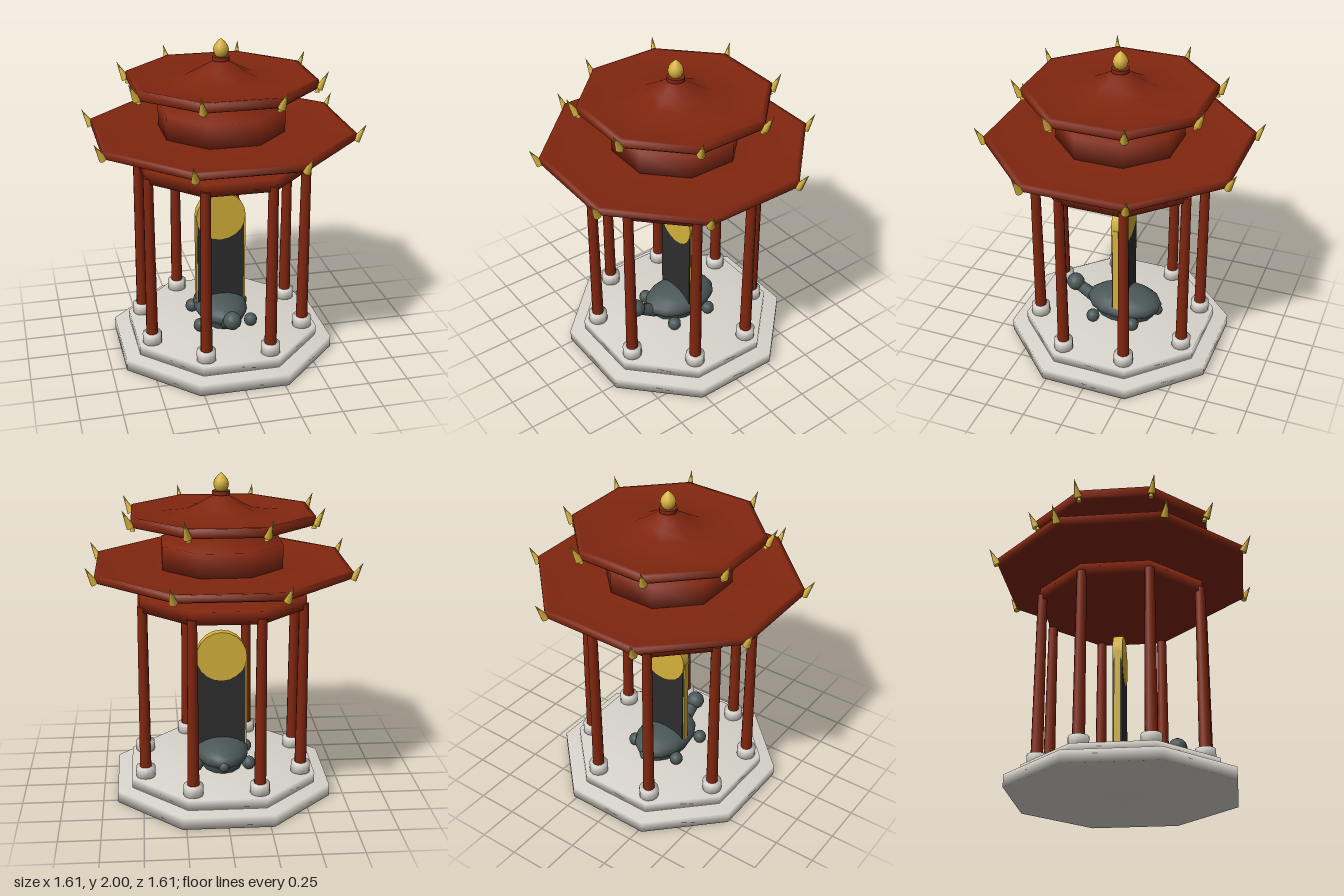
import * as THREE from 'three';
import { mergeVertices } from 'three/addons/utils/BufferGeometryUtils.js';

const paint = (name, color) => {
  const m = new THREE.MeshStandardMaterial({ color });
  m.name = name;
  return m;
};

export function createModel() {
  const red = paint('lacquer red', 0x80260f);
  const gold = paint('gold', 0xd4b03a);
  const stone = paint('pale stone', 0xd9d5cd);
  const slab = paint('dark slab', 0x2d2d2d);
  const slate = paint('slate', 0x4b5757);

  const model = new THREE.Group();
  model.name = 'pavilion';
  const group = (name) => {
    const g = new THREE.Group();
    g.name = name;
    model.add(g);
    return g;
  };
  const add = (parent, name, geo, mat, x = 0, y = 0, z = 0) => {
    const mesh = new THREE.Mesh(geo, mat);
    mesh.name = name;
    mesh.position.set(x, y, z);
    parent.add(mesh);
    return mesh;
  };

  // Share all corners so that shading runs softly over the edges
  const soften = (geo) => {
    geo.deleteAttribute('normal');
    geo.deleteAttribute('uv');
    const g = mergeVertices(geo, 1e-4);
    g.computeVertexNormals();
    return g;
  };

  // Eight-sided solid; profile is [distance to flat side, y] from bottom to top
  const C = Math.cos(Math.PI / 8);
  const octagon = (profile) => soften(new THREE.LatheGeometry(
    profile.map(([a, y]) => new THREE.Vector2(a / C, y)), 8, Math.PI / 8));
  const disc = (a, y0, y1) => octagon([[0, y0], [a, y0], [a, y1], [0, y1]]);

  // Direction of each corner
  const eachCorner = (fn) => {
    for (let i = 0; i < 8; i++) {
      const t = Math.PI / 8 + i * Math.PI / 4;
      fn(Math.sin(t), Math.cos(t));
    }
  };

  // Cone or cylinder between two points
  const rod = (parent, name, mat, from, to, r0, r1, sides) => {
    const a = new THREE.Vector3(...from), b = new THREE.Vector3(...to);
    const d = b.clone().sub(a);
    const m = add(parent, name, new THREE.CylinderGeometry(r1, r0, d.length(), sides), mat);
    m.position.copy(a).add(b).multiplyScalar(0.5);
    m.quaternion.setFromUnitVectors(new THREE.Vector3(0, 1, 0), d.normalize());
    return m;
  };

  // Stepped base
  const base = group('base');
  add(base, 'lowerStep', disc(0.66, 0, 0.075), stone);
  add(base, 'upperStep', disc(0.57, 0.075, 0.142), stone);

  // Columns on round footings, tied by a beam slab
  const columns = group('columns');
  const footing = soften(new THREE.CylinderGeometry(0.06, 0.06, 0.07, 12));
  const shaft = new THREE.CylinderGeometry(0.03, 0.037, 1.06, 10);
  eachCorner((s, c) => {
    add(columns, 'footing', footing, stone, s * 0.525, 0.172, c * 0.525);
    add(columns, 'column', shaft, red, s * 0.525, 0.71, c * 0.525);
  });
  add(columns, 'beam', disc(0.5, 1.208, 1.286), red);

  // Lower roof with upturned rim, and the drum above it
  const lower = group('lowerRoof');
  add(lower, 'lowerEave', octagon([[0, 1.395], [0.6, 1.395], [0.735, 1.41], [0.755, 1.42],
    [0.755, 1.458], [0.73, 1.458], [0.6, 1.435], [0.36, 1.445], [0, 1.445]]), red);
  add(lower, 'drum', disc(0.36, 1.43, 1.59), red);

  // Upper roof sweeping up to the finial
  const upper = group('upperRoof');
  add(upper, 'upperEave', octagon([[0, 1.703], [0.45, 1.703], [0.525, 1.717], [0.538, 1.73],
    [0.538, 1.773], [0.51, 1.773], [0.38, 1.743], [0.2, 1.77], [0.13, 1.81],
    [0.075, 1.845], [0.03, 1.87], [0, 1.87]]), red);

  // Corner spikes, with little bells below the upper ones
  eachCorner((s, c) => {
    rod(lower, 'lowerSpike', gold, [s * 0.814, 1.415, c * 0.814], [s * 0.872, 1.517, c * 0.872], 0.025, 0, 8);
    rod(upper, 'upperSpike', gold, [s * 0.583, 1.722, c * 0.583], [s * 0.637, 1.828, c * 0.637], 0.025, 0, 8);
    rod(upper, 'bell', gold, [s * 0.572, 1.7, c * 0.572], [s * 0.572, 1.74, c * 0.572], 0.016, 0.006, 8);
  });

  // Finial
  const finial = group('finial');
  add(finial, 'collar', new THREE.CylinderGeometry(0.053, 0.053, 0.024, 12), red, 0, 1.88, 0);
  add(finial, 'neck', new THREE.CylinderGeometry(0.035, 0.035, 0.03, 12), red, 0, 1.86, 0);
  add(finial, 'flameBall', new THREE.LatheGeometry([[0, 1.885], [0.03, 1.89], [0.042, 1.908],
    [0.047, 1.932], [0.041, 1.955], [0.024, 1.978], [0, 2]].map((p) => new THREE.Vector2(...p)), 14), gold);

  // Standing tablet with gold edges and a round head
  const tablet = group('tablet');
  const tz = -0.025;
  add(tablet, 'tabletSlab', new THREE.BoxGeometry(0.3, 0.62, 0.056), slab, 0, 0.55, tz);
  for (const s of [-1, 1])
    add(tablet, 'tabletEdge', new THREE.BoxGeometry(0.016, 0.6, 0.04), gold, s * 0.152, 0.565, tz);
  add(tablet, 'tabletHead', new THREE.CylinderGeometry(0.158, 0.158, 0.06, 20), gold, 0, 0.862, tz)
    .rotation.x = Math.PI / 2;

  // Tortoise carrying the tablet
  const tortoise = group('tortoise');
  add(tortoise, 'shell', new THREE.SphereGeometry(1, 14, 10), slate, 0, 0.232, -0.03)
    .scale.set(0.172, 0.092, 0.25);
  add(tortoise, 'belly', new THREE.CylinderGeometry(1, 0.85, 1, 14), slate, 0, 0.185, -0.03)
    .scale.set(0.155, 0.075, 0.23);
  rod(tortoise, 'neck', slate, [0, 0.2, 0.17], [0, 0.28, 0.31], 0.045, 0.035, 10);
  add(tortoise, 'head', new THREE.SphereGeometry(0.058, 12, 10), slate, 0, 0.291, 0.317);
  for (const x of [-1, 1])
    for (const z of [0.13, -0.14])
      add(tortoise, 'leg', new THREE.SphereGeometry(0.043, 10, 8), slate, x * 0.165, 0.18, z);
  add(tortoise, 'tail', new THREE.SphereGeometry(0.035, 10, 8), slate, 0, 0.21, -0.256);

  return model;
}
